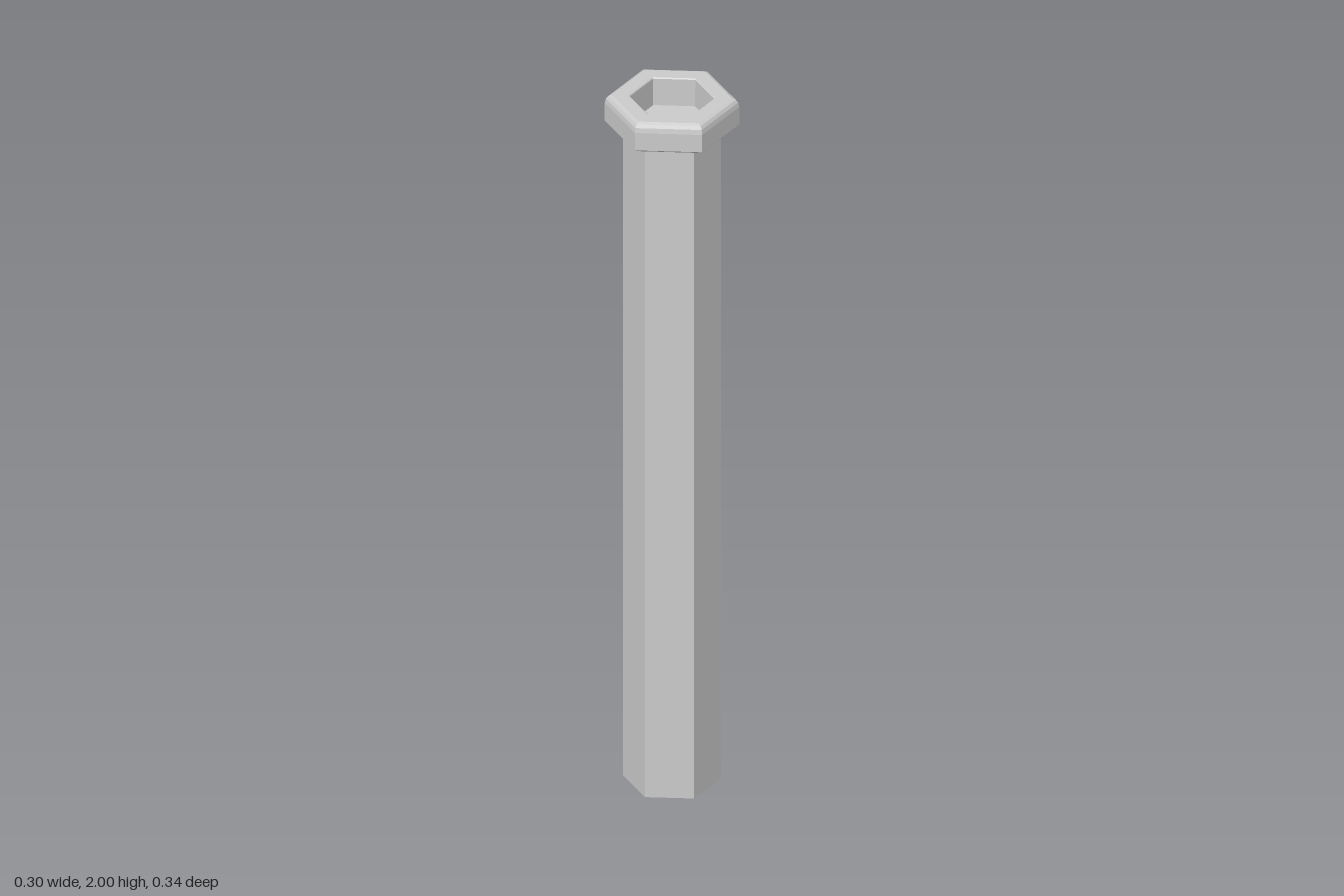
import * as THREE from 'three';

const SIDES = 6;
const HEAD_BASE = 1.92;

export function createModel() {
  const group = new THREE.Group();
  const material = new THREE.MeshStandardMaterial({ color: 0xcccccc, flatShading: true });

  const add = (name, geometry, y = 0) => {
    const mesh = new THREE.Mesh(geometry, material);
    mesh.name = name;
    mesh.position.y = y;
    group.add(mesh);
  };

  // Solid hexagonal shaft; its top closes the bottom of the socket
  add('shaft', new THREE.CylinderGeometry(0.125, 0.125, HEAD_BASE, SIDES), HEAD_BASE / 2);

  // Hexagonal collar with a rounded upper edge and an open socket
  const profile = [
    [0.107, 0], [0.168, 0], [0.172, 0.004], [0.172, 0.055],
    [0.169, 0.068], [0.163, 0.076], [0.154, 0.08],
    [0.111, 0.08], [0.108, 0.077], [0.107, 0],
  ].map(([r, y]) => new THREE.Vector2(r, y));
  add('head', new THREE.LatheGeometry(profile, SIDES), HEAD_BASE);

  return group;
}
